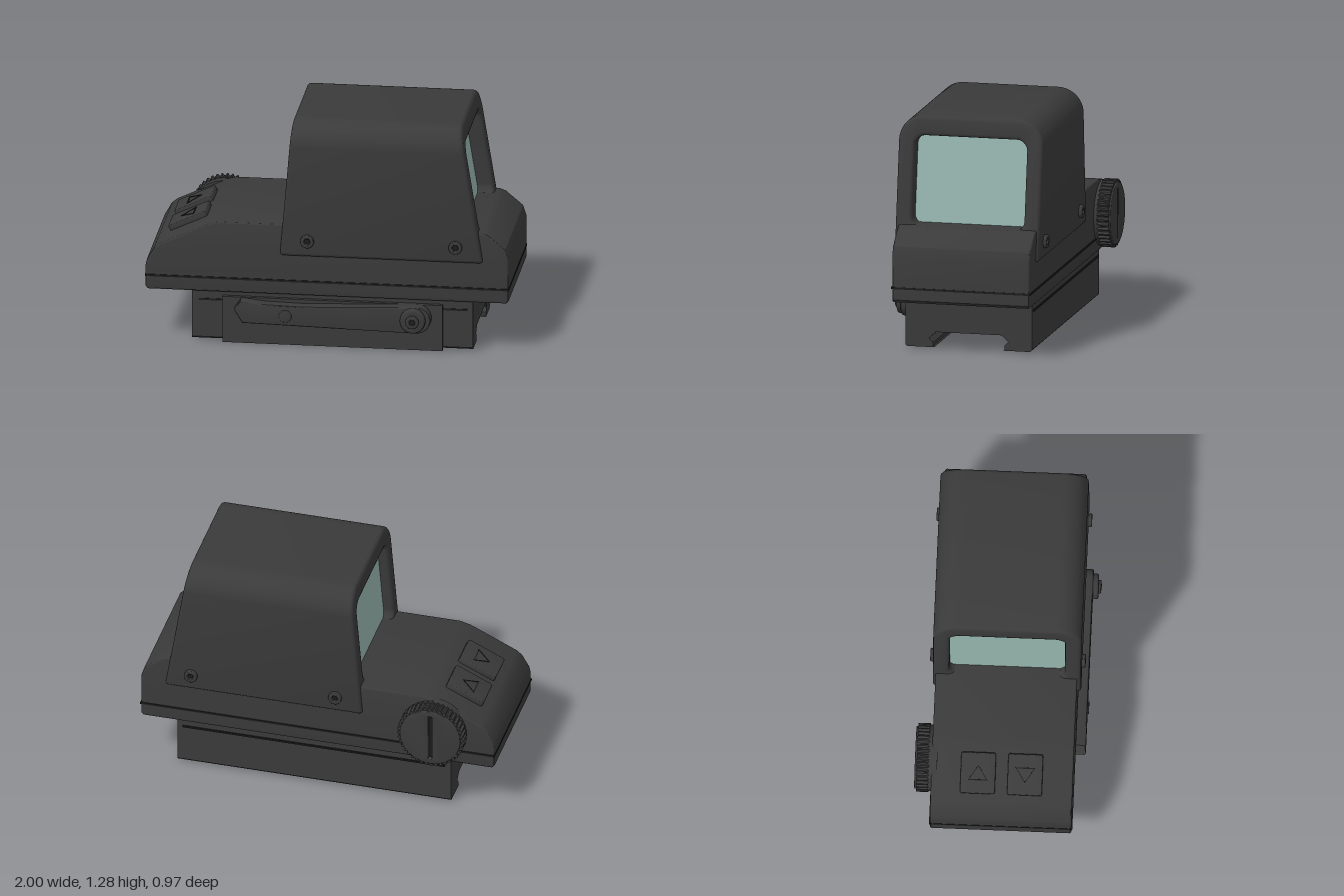
import * as THREE from 'three';
import { toCreasedNormals } from 'three/addons/utils/BufferGeometryUtils.js';

const dark = new THREE.MeshStandardMaterial({ color: 0x3a3a3b });
const black = new THREE.MeshStandardMaterial({ color: 0x1c1c1d });
const glass = new THREE.MeshStandardMaterial({ color: 0x96b4ae, side: THREE.DoubleSide });

const polygon = (pts) => new THREE.Shape(pts.map(([x, y]) => new THREE.Vector2(x, y)));

// Rounded rectangle with separate top and bottom radii
function roundedRect(shape, x0, y0, x1, y1, top, bottom) {
  const q = Math.PI / 2;
  shape.absarc(x1 - bottom, y0 + bottom, bottom, -q, 0);
  shape.absarc(x1 - top, y1 - top, top, 0, q);
  shape.absarc(x0 + top, y1 - top, top, q, 2 * q);
  shape.absarc(x0 + bottom, y0 + bottom, bottom, 2 * q, 3 * q);
  shape.closePath();
  return shape;
}

// Extrusion between two depths, bevel kept inside the outline
function extrude(shape, from, to, bevel = 0, bevelSegments = 3) {
  const geo = new THREE.ExtrudeGeometry(shape, {
    depth: to - from - 2 * bevel, bevelEnabled: bevel > 0, bevelThickness: bevel,
    bevelSize: bevel, bevelOffset: -bevel, bevelSegments, curveSegments: 12,
  });
  geo.translate(0, 0, from + bevel);
  return geo;
}

export function createModel() {
  const model = new THREE.Group();

  const add = (name, geo, material = dark, parent = model) => {
    const mesh = new THREE.Mesh(geo, material);
    mesh.name = name;
    parent.add(mesh);
    return mesh;
  };
  const box = (name, x0, x1, y0, y1, z0, z1, material) =>
    add(name, new THREE.BoxGeometry(x1 - x0, y1 - y0, z1 - z0), material)
      .position.set((x0 + x1) / 2, (y0 + y1) / 2, (z0 + z1) / 2);
  const disc = (shape, x, y, r) => shape.absarc(x, y, r, 0, Math.PI * 2);

  // Main housing, a side profile with sloped ends
  const housing = polygon([
    [-0.985, 0.295], [0.985, 0.295], [0.998, 0.31], [0.998, 0.55], [0.98, 0.605], [0.885, 0.685],
    [0.85, 0.698], [-0.6, 0.698], [-0.66, 0.682], [-0.92, 0.56], [-0.95, 0.535], [-0.99, 0.465],
    [-0.998, 0.43], [-0.998, 0.31],
  ]);
  add('housing', toCreasedNormals(extrude(housing, -0.39, 0.383, 0.012), 0.5));
  box('housingSeam', -1, 1, 0.37, 0.381, -0.394, 0.388, black);

  // Hood: an arch run along x, its ends leaning inward toward the top
  const lean = (geo) => {
    geo.rotateY(Math.PI / 2);
    const p = geo.attributes.position;
    for (let i = 0; i < p.count; i++) {
      const t = (p.getY(i) - 0.525) / 0.765;
      p.setX(i, p.getX(i) + t * (p.getX(i) < 0.3 ? 0.065 : -0.125));
    }
    geo.computeVertexNormals();
    return toCreasedNormals(geo, 0.6);
  };
  const arch = roundedRect(new THREE.Shape(), -0.405, 0.525, 0.405, 1.29, 0.14, 0.02);
  arch.holes.push(roundedRect(new THREE.Path(), -0.315, 0.692, 0.315, 1.18, 0.06, 0.05));
  add('hood', lean(extrude(arch, -0.258, 0.86, 0.02)));

  // Window panes set into each end of the hood
  for (const [name, x] of [['rearWindow', -0.2], ['frontWindow', 0.76]]) {
    const pane = roundedRect(new THREE.Shape(), -0.32, 0.687, 0.32, 1.185, 0.06, 0.05);
    add(name, lean(extrude(pane, x, x + 0.01)), glass);
  }

  // Hood screws with hexagonal sockets, on both sides
  for (const side of [1, -1]) {
    for (const x of [-0.105, 0.71]) {
      const screw = new THREE.Group();
      screw.name = 'hoodScrew';
      screw.position.set(x, 0.617, 0.4 * side);
      if (side < 0) screw.rotation.y = Math.PI;
      const head = disc(new THREE.Shape(), 0, 0, 0.037);
      const hex = [0, 1, 2, 3, 4, 5].map((i) => [0.018 * Math.cos(i * Math.PI / 3), 0.018 * Math.sin(i * Math.PI / 3)]);
      head.holes.push(polygon(hex));
      add('screwHead', toCreasedNormals(extrude(head, -0.01, 0.024, 0.006), 0.6), dark, screw);
      add('screwSocket', extrude(polygon(hex), -0.01, 0.01), black, screw);
      model.add(screw);
    }
  }

  // Rail clamp with a dovetail channel underneath
  const half = [[0.185, 0.1], [0.222, 0.065], [0.2, 0.04], [0.2, 0.022], [0.193, 0.015]];
  const clampProfile = polygon([
    [-0.355, 0.3], [-0.355, 0.025], [-0.345, 0.015], ...half.slice().reverse().map(([x, y]) => [-x, y]),
    ...half, [0.345, 0.015], [0.355, 0.025], [0.355, 0.3],
  ]);
  const clamp = extrude(clampProfile, -0.745, 0.8);
  clamp.rotateY(Math.PI / 2);
  add('railClamp', clamp);
  box('clampSeam', -0.71, 0.77, 0.236, 0.246, -0.362, 0.358, black);
  box('clampPlate', -0.575, 0.635, 0.005, 0.268, 0.35, 0.376);

  // Locking lever: a round pivot end with a long tapering arm
  const lever = new THREE.Shape();
  lever.moveTo(-0.46, 0.14);
  lever.lineTo(0.45, 0.121);
  lever.absarc(0.5, 0.196, 0.075, -Math.PI / 2, Math.PI / 2);
  lever.lineTo(0.4, 0.267);
  lever.lineTo(-0.12, 0.247);
  lever.lineTo(-0.34, 0.252);
  lever.lineTo(-0.47, 0.268);
  lever.lineTo(-0.505, 0.215);
  lever.closePath();
  add('lockingLever', toCreasedNormals(extrude(lever, 0.37, 0.44, 0.008), 0.5));
  const stud = (name, x, y, r, z0, z1, bevel, material) =>
    add(name, toCreasedNormals(extrude(disc(new THREE.Shape(), x, y, r), z0, z1, bevel), 0.6), material);
  stud('leverPin', -0.222, 0.19, 0.035, 0.42, 0.447, 0.004);
  stud('pivotCap', 0.48, 0.198, 0.07, 0.42, 0.47, 0.012);
  stud('pivotBolt', 0.48, 0.198, 0.037, 0.45, 0.484, 0.005);
  stud('pivotSocket', 0.48, 0.198, 0.018, 0.46, 0.486, 0.002, black);

  // Battery cap: ribbed disc with a coin slot
  const knob = new THREE.Group();
  knob.name = 'batteryCap';
  knob.position.set(-0.66, 0.497, -0.38);
  knob.rotation.y = Math.PI;
  model.add(knob);
  const ribs = 40, rim = [];
  for (let i = 0; i < ribs * 4; i++) {
    const a = (i / (ribs * 4)) * Math.PI * 2;
    const r = i % 4 < 2 ? 0.188 : 0.176;
    rim.push([r * Math.cos(a), r * Math.sin(a)]);
  }
  const slot = () => polygon([[-0.01, -0.135], [0.01, -0.135], [0.01, 0.135], [-0.01, 0.135]]);
  const face = disc(new THREE.Shape(), 0, 0, 0.172);
  face.holes.push(slot());
  const ribbed = polygon(rim);
  ribbed.holes.push(disc(new THREE.Path(), 0, 0, 0.16));
  add('capRibs', extrude(ribbed, 0.025, 0.092), dark, knob);
  add('capFace', toCreasedNormals(extrude(face, 0.02, 0.102, 0.006), 0.6), dark, knob);
  add('capSlot', extrude(slot(), 0.02, 0.085), black, knob);
  add('capCollar', toCreasedNormals(extrude(disc(new THREE.Shape(), 0, 0, 0.183), -0.02, 0.03), 0.6), dark, knob);

  // Two adjustment buttons on the sloped end, each with an arrow
  for (const [z, dir] of [[-0.135, 1], [0.122, -1]]) {
    const button = new THREE.Group();
    button.name = 'adjustButton';
    button.position.set(-0.783, 0.628, z);
    button.rotation.z = Math.atan2(0.122, 0.26);
    const pad = roundedRect(new THREE.Shape(), -0.113, -0.095, 0.113, 0.095, 0.012, 0.012);
    const padGeo = extrude(pad, -0.01, 0.026, 0.005);
    padGeo.rotateX(-Math.PI / 2);
    add('buttonPad', toCreasedNormals(padGeo, 0.6), dark, button);
    const outline = (s) => [[-0.04 * s, -0.055 * s], [0.045 * s, 0], [-0.04 * s, 0.055 * s]].map(([x, y]) => [x * dir, y * dir]);
    const arrow = polygon(outline(1));
    arrow.holes.push(polygon(outline(0.84)));
    const arrowGeo = extrude(arrow, 0.02, 0.029);
    arrowGeo.rotateX(-Math.PI / 2);
    add('buttonArrow', arrowGeo, black, button);
    model.add(button);
  }

  return model;
}
